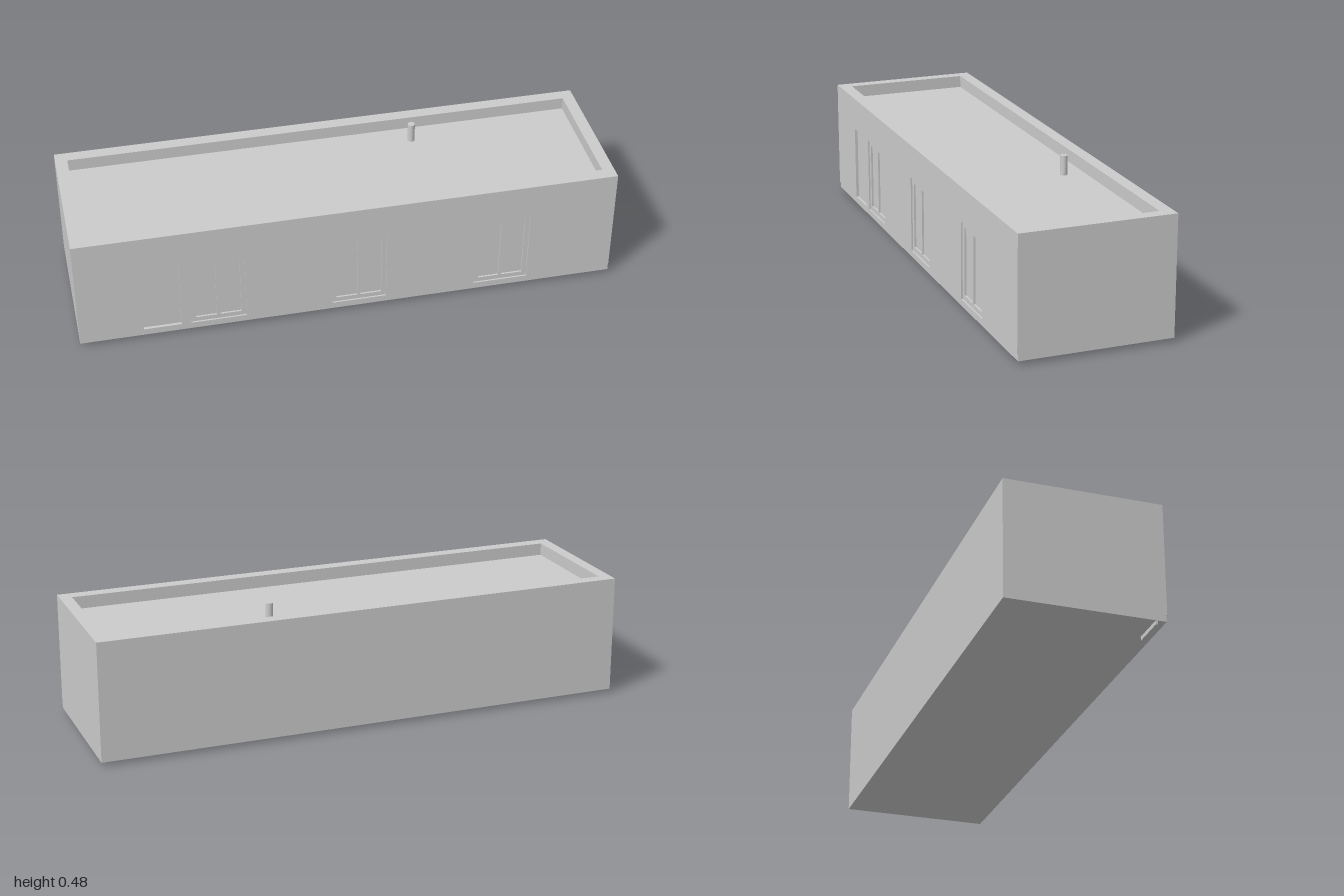
import * as THREE from 'three';

const material = new THREE.MeshStandardMaterial({ color: 0xcccccc, flatShading: true });

function rectPath(x0, y0, x1, y1, Type = THREE.Path) {
  const p = new Type();
  p.moveTo(x0, y0);
  p.lineTo(x1, y0);
  p.lineTo(x1, y1);
  p.lineTo(x0, y1);
  p.closePath();
  return p;
}

// Flat rectangular panel with rectangular holes, extruded along z
function panel(rect, holes, depth) {
  const shape = rectPath(...rect, THREE.Shape);
  holes.forEach((h) => shape.holes.push(rectPath(...h)));
  return new THREE.ExtrudeGeometry(shape, { depth, bevelEnabled: false });
}

export function createModel() {
  const model = new THREE.Group();
  const add = (name, geometry, parent = model) => {
    const mesh = new THREE.Mesh(geometry, material);
    mesh.name = name;
    parent.add(mesh);
    return mesh;
  };
  const box = (name, x0, x1, y0, y1, z0, z1, parent) =>
    add(name, new THREE.BoxGeometry(x1 - x0, y1 - y0, z1 - z0), parent)
      .position.set((x0 + x1) / 2, (y0 + y1) / 2, (z0 + z1) / 2);

  const base = 0.015, sill = 0.04, head = 0.33, roof = 0.41, top = 0.457;
  const back = -0.285, glassZ = 0.272, front = 0.285;

  // Solid body up to the roof deck, and the low strip below the openings
  box('body', -1, 1, base, roof, back, glassZ);
  box('plinth', -1, 1, base, sill, glassZ, 0.282);

  // Parapet ring around the sunken roof
  const parapet = panel([-1, -glassZ, 1, -back], [[-0.955, -0.236, 0.955, 0.238]], top - roof);
  parapet.rotateX(-Math.PI / 2);
  add('parapet', parapet).position.y = roof;

  // Front wall with one door and three window openings
  const door = [-0.767, sill + 0.003, -0.628, head];
  const windows = [-0.592, -0.068, 0.472].map((x) => [x, sill + 0.003, x + 0.204, head]);
  add('frontWall', panel([-1, sill, 1, top], [door, ...windows], front - glassZ)).position.z = glassZ;

  // Door leaf set back in its opening
  box('doorLeaf', door[0], door[2], door[1], door[3], glassZ, glassZ + 0.002);

  // Two-pane window frames
  windows.forEach(([x0, y0, x1, y1]) => {
    const group = new THREE.Group();
    group.name = 'window';
    model.add(group);
    const mid = (x0 + x1) / 2, rim = 0.018, bar = 0.006;
    const panes = [
      [x0 + rim, y0 + rim, mid - bar, y1 - rim],
      [mid + bar, y0 + rim, x1 - rim, y1 - rim],
    ];
    add('windowFrame', panel([x0, y0, x1, y1], panes, 0.007), group).position.z = glassZ;
  });

  // Roof vent pipe
  add('ventPipe', new THREE.CylinderGeometry(0.0135, 0.0135, 0.483 - roof, 24))
    .position.set(0.333, (0.483 + roof) / 2, -0.16);

  // Small bar beneath the front corner
  box('footBar', -1, -0.87, 0, base, 0.243, 0.25);

  return model;
}
